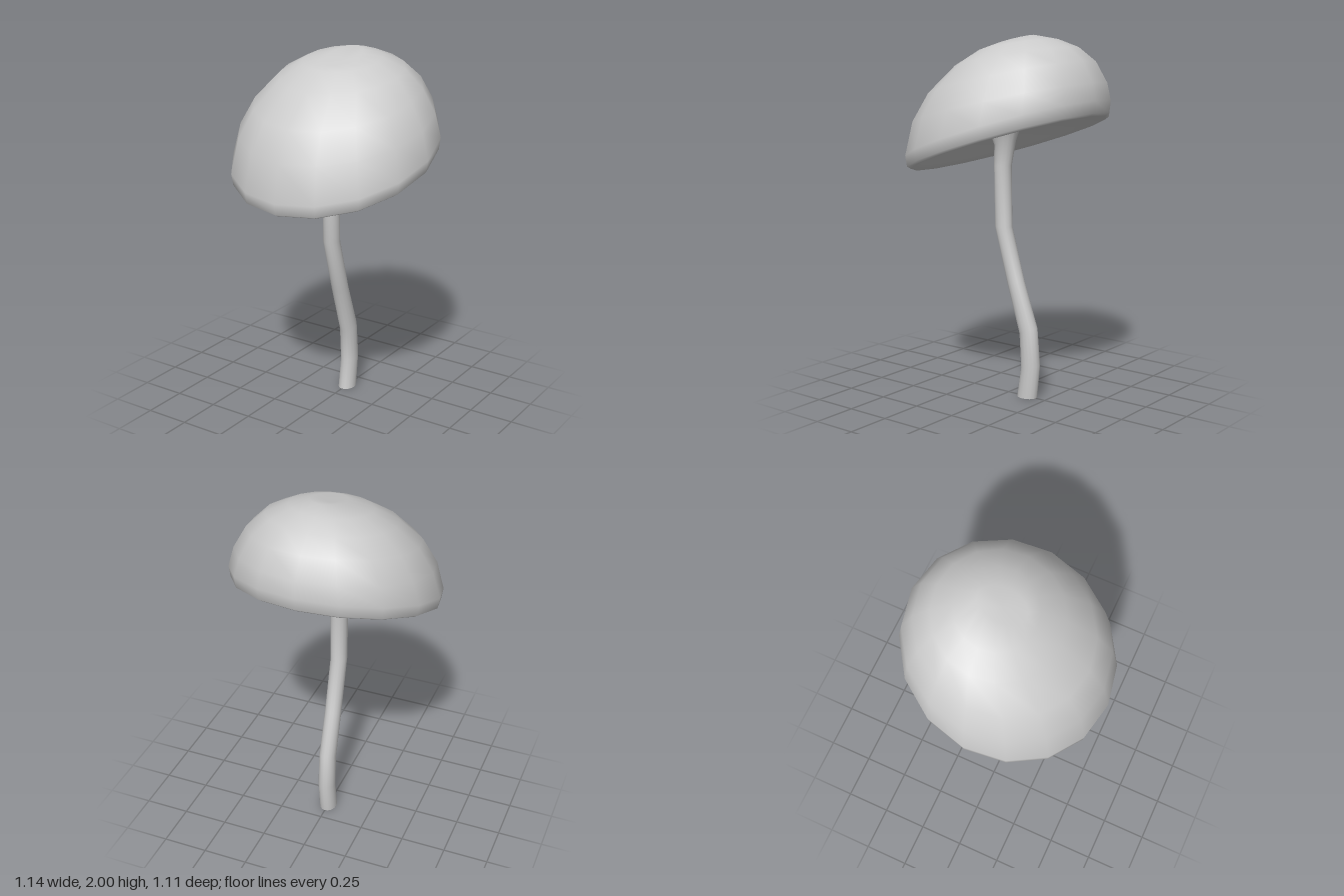
import * as THREE from 'three';

const SIDES = 16;
const material = () => new THREE.MeshStandardMaterial({ color: 0xcccccc });

// Skins elliptical rings given as [frontZ, frontY, backZ, backY, radiusX, centreX].
function loft(name, rings) {
  const positions = [], index = [];
  for (const [zf, yf, zb, yb, rx, cx = 0] of rings) {
    for (let i = 0; i < SIDES; i++) {
      const a = (i / SIDES) * Math.PI * 2;
      const t = (1 - Math.cos(a)) / 2;
      positions.push(cx + rx * Math.sin(a), yf + (yb - yf) * t, zf + (zb - zf) * t);
    }
  }
  for (let j = 0; j < rings.length - 1; j++) {
    for (let i = 0; i < SIDES; i++) {
      const n = (i + 1) % SIDES;
      const a = j * SIDES + i, b = j * SIDES + n;
      index.push(a, b, a + SIDES, b, b + SIDES, a + SIDES);
    }
  }
  // Close the last ring on its middle point
  const [zf, yf, zb, yb, , cx = 0] = rings[rings.length - 1];
  const pole = positions.length / 3, last = (rings.length - 1) * SIDES;
  positions.push(cx, (yf + yb) / 2 - 0.02, (zf + zb) / 2);
  for (let i = 0; i < SIDES; i++) index.push(last + i, last + (i + 1) % SIDES, pole);

  const geometry = new THREE.BufferGeometry();
  geometry.setAttribute('position', new THREE.Float32BufferAttribute(positions, 3));
  geometry.setIndex(index);
  geometry.computeVertexNormals();
  const mesh = new THREE.Mesh(geometry, material());
  mesh.name = name;
  return mesh;
}

// Ring of radius r, raised h along the axis of the tilted cap
function tiltedRing(r, h, centre = 0) {
  const c = 0.949, s = 0.316;
  const z = centre + h * s, y = 1.41 + h * c;
  return [z + r * c, y - r * s, z - r * c, y + r * s, r];
}

export function createModel() {
  const group = new THREE.Group();
  group.name = 'mushroom';

  // Bent stem, flaring where it meets the cap
  group.add(loft('stem', [
    [-0.07, 0, -0.19, 0, 0.048],
    [-0.097, 0.17, -0.21, 0.19, 0.048],
    [-0.085, 0.36, -0.19, 0.4, 0.047],
    [0, 0.64, -0.1, 0.65, 0.046],
    [0.085, 0.95, -0.015, 0.95, 0.046],
    [0.09, 1.29, -0.01, 1.29, 0.048],
    [0.09, 1.4, -0.04, 1.43, 0.052],
    [0.12, 1.48, -0.08, 1.55, 0.085],
    [0.14, 1.54, -0.1, 1.62, 0.12],
  ]));

  // Flat underside of the stem
  const base = new THREE.Mesh(new THREE.CircleGeometry(1, SIDES), material());
  base.name = 'stemBase';
  base.scale.set(0.048, 0.06, 1);
  base.rotation.x = Math.PI / 2;
  base.position.set(0, 0, -0.13);
  group.add(base);

  // Hollow underside, rolled rim and dome of the cap
  group.add(loft('cap', [
    tiltedRing(0.08, 0.19, -0.02),
    tiltedRing(0.15, 0.17, -0.02),
    tiltedRing(0.2, 0.12),
    tiltedRing(0.36, 0.08),
    tiltedRing(0.5, 0.02),
    [0.53, 1.23, -0.53, 1.588, 0.54],
    [0.55, 1.24, -0.55, 1.605, 0.56],
    [0.558, 1.3, -0.556, 1.67, 0.57],
    [0.52, 1.5, -0.54, 1.76, 0.53],
    [0.43, 1.66, -0.48, 1.87, 0.455],
    [0.27, 1.82, -0.39, 1.94, 0.345],
    [0.14, 1.91, -0.28, 1.98, 0.22],
    [0.08, 1.935, -0.18, 2.0, 0.09, 0.02],
  ]));

  return group;
}
